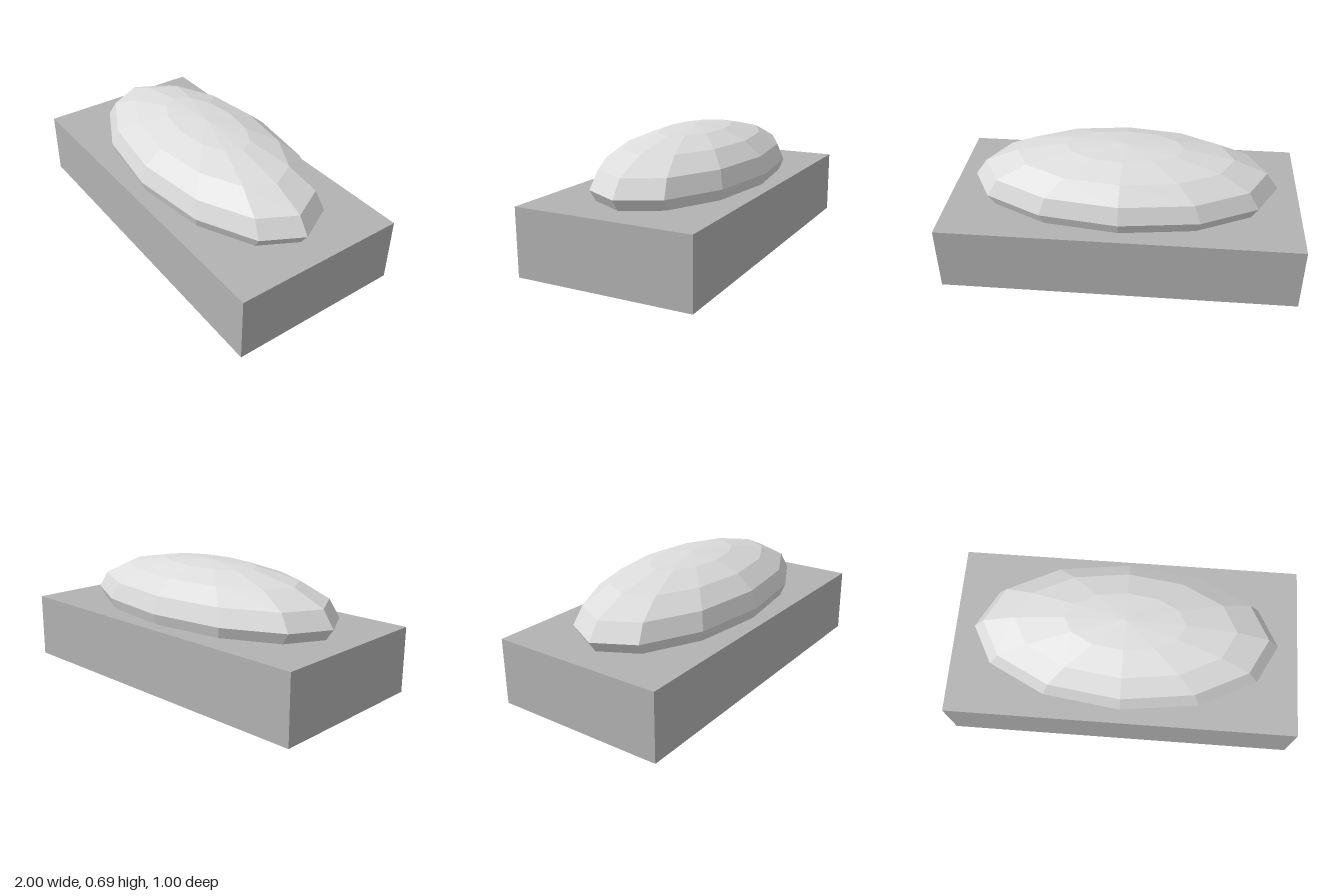
import * as THREE from 'three';

export function createModel() {
  const model = new THREE.Group();
  const baseGrey = new THREE.MeshStandardMaterial({ name: 'baseGrey', color: 0xb3b3b3 });
  const domeGrey = new THREE.MeshStandardMaterial({ name: 'domeGrey', color: 0xdcdcdc, flatShading: true });

  // Rectangular block
  const base = new THREE.Mesh(new THREE.BoxGeometry(2, 0.375, 1), baseGrey);
  base.name = 'base';
  base.position.y = 0.1875;
  model.add(base);

  // Faceted ellipsoid sunk into the block
  const dome = new THREE.Mesh(new THREE.SphereGeometry(1, 12, 8).scale(0.875, 0.25, 0.4375), domeGrey);
  dome.name = 'dome';
  dome.position.y = 0.4375;
  model.add(dome);

  return model;
}
